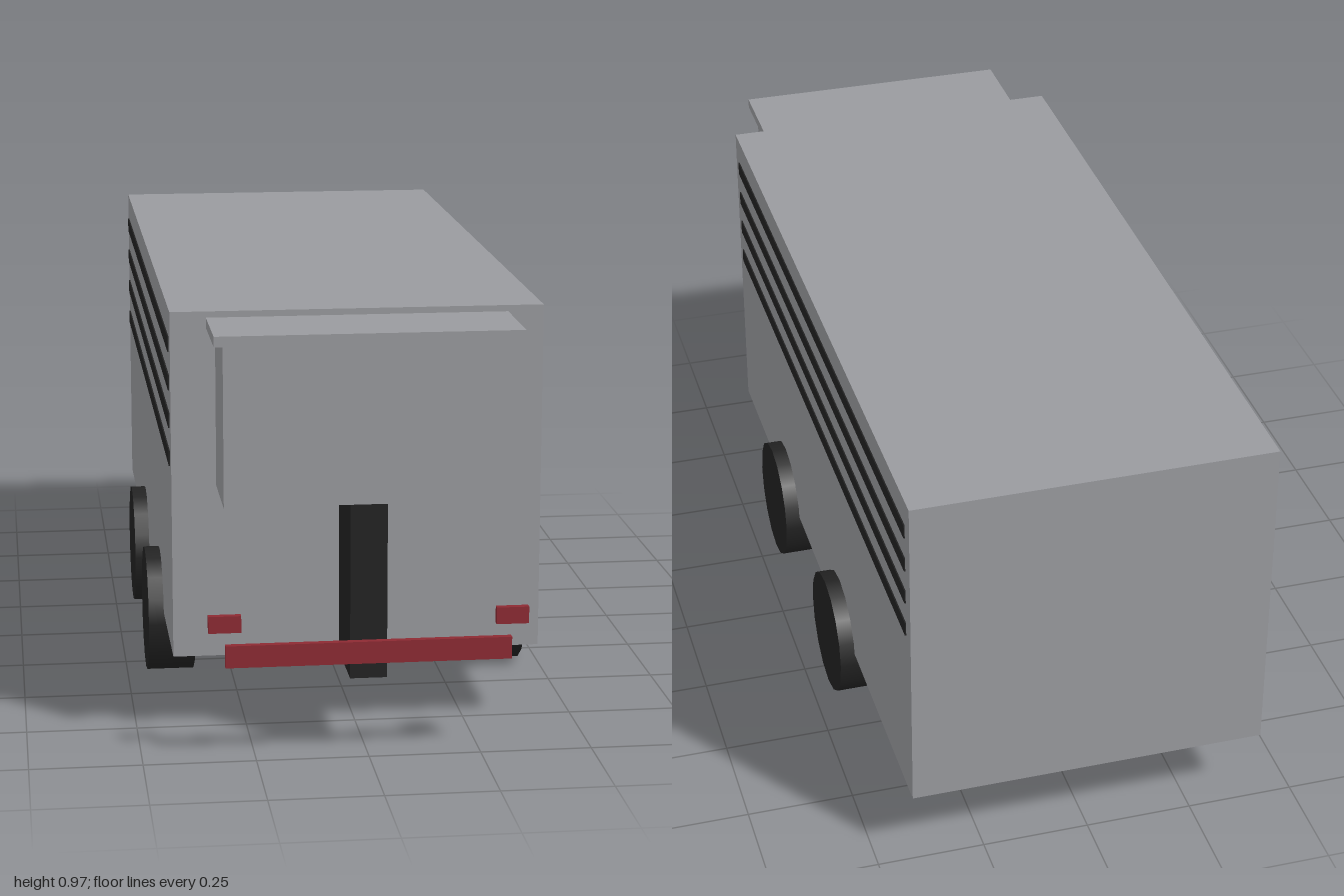
import * as THREE from 'three';

export function createModel() {
  const model = new THREE.Group();
  const makeMaterial = (name, color) => {
    const m = new THREE.MeshStandardMaterial({ color });
    m.name = name;
    return m;
  };
  const grey = makeMaterial('grey panel', 0x9a9b9f);
  const black = makeMaterial('black', 0x222222);
  const red = makeMaterial('red', 0x8d2a33);

  // Box given by its minimum and maximum corners
  const box = (name, material, [x0, y0, z0], [x1, y1, z1]) => {
    const mesh = new THREE.Mesh(new THREE.BoxGeometry(x1 - x0, y1 - y0, z1 - z0), material);
    mesh.position.set((x0 + x1) / 2, (y0 + y1) / 2, (z0 + z1) / 2);
    mesh.name = name;
    model.add(mesh);
  };

  // Long trailer body
  box('body', grey, [-0.417, 0.177, -1], [0.417, 0.967, 0.782]);

  // Front housing with overhanging lid, above a dark support post
  box('frontHousing', grey, [-0.317, 0.572, 0.782], [0.317, 0.93, 0.985]);
  box('housingLid', grey, [-0.337, 0.93, 0.782], [0.337, 0.953, 1]);
  box('supportPost', black, [-0.041, 0.177, 0.782], [0.041, 0.572, 0.984]);

  // Bumper bar and marker lights
  box('bumper', red, [-0.317, 0.215, 0.984], [0.317, 0.265, 1]);
  for (const s of [-1, 1]) {
    const x = s * 0.318;
    box('markerLight', red, [x - 0.036, 0.295, 0.984], [x + 0.036, 0.333, 1]);
  }

  // Ventilation slits on both sides
  for (const s of [-1, 1]) {
    for (const y of [0.888, 0.801, 0.715, 0.628]) {
      const x = s * 0.417;
      box('ventSlit', black, [x - 0.003, y - 0.017, -0.963], [x + 0.003, y + 0.017, 0.745]);
    }
  }

  // Two wheels on each side
  const wheelGeometry = new THREE.CylinderGeometry(0.149, 0.149, 0.111, 16);
  wheelGeometry.rotateZ(Math.PI / 2);
  for (const s of [-1, 1]) {
    for (const z of [0.292, -0.305]) {
      const wheel = new THREE.Mesh(wheelGeometry, black);
      wheel.position.set(s * 0.3975, 0.149, z);
      wheel.name = 'wheel';
      model.add(wheel);
    }
  }
  return model;
}
